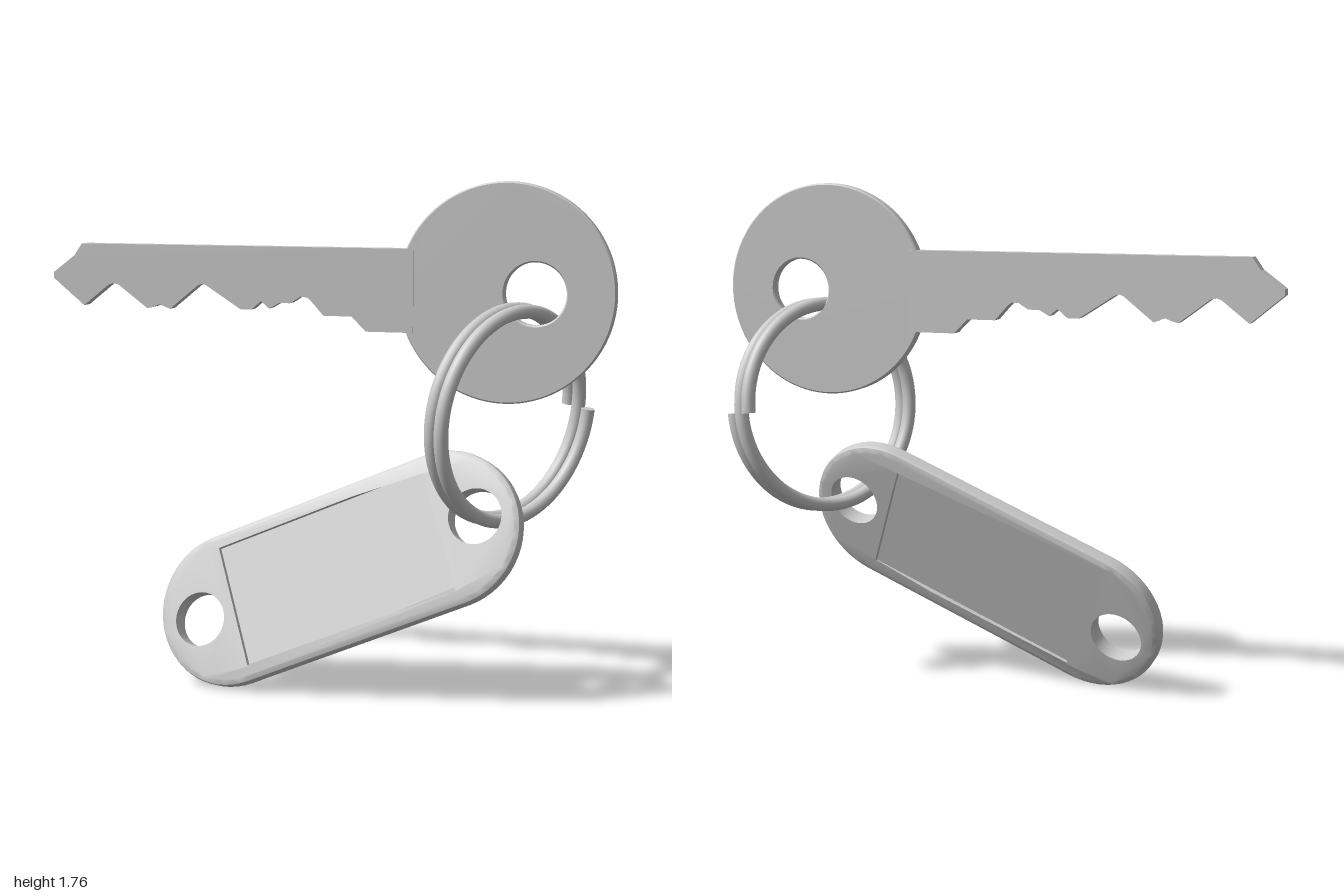
import * as THREE from 'three';
import { toCreasedNormals } from 'three/addons/utils/BufferGeometryUtils.js';

const material = new THREE.MeshStandardMaterial({ color: 0xcccccc });

function addMesh(parent, geometry, name) {
  const mesh = new THREE.Mesh(geometry, material);
  mesh.name = name;
  parent.add(mesh);
  return mesh;
}

// Circle made of two half arcs, used for outlines and holes
function circle(path, x, y, r) {
  path.absarc(x, y, r, 0, Math.PI, false);
  path.absarc(x, y, r, Math.PI, Math.PI * 2, false);
  return path;
}

function createKey() {
  const key = new THREE.Group();
  key.name = 'key';

  // Round head with an off-centre hole and a fine edge bevel
  const head = circle(new THREE.Shape(), 0.63, 1.39, 0.37);
  head.holes.push(circle(new THREE.Path(), 0.73, 1.39, 0.105));
  const b = 0.005;
  const headGeo = new THREE.ExtrudeGeometry(head, {
    depth: 0.04 - 2 * b, curveSegments: 32,
    bevelSize: b, bevelThickness: b, bevelOffset: -b, bevelSegments: 1,
  });
  headGeo.translate(0, 0, -0.02 + b);
  addMesh(key, toCreasedNormals(headGeo, 0.5), 'keyHead');

  // Toothed blade, slightly thicker than the head
  const outline = [
    [-0.89, 1.533], [-0.92, 1.49], [-1, 1.43], [-1, 1.41], [-0.885, 1.315],
    [-0.79, 1.39], [-0.775, 1.395], [-0.755, 1.392], [-0.645, 1.31], [-0.625, 1.315],
    [-0.6, 1.325], [-0.56, 1.31], [-0.455, 1.395], [-0.44, 1.4], [-0.425, 1.395],
    [-0.3, 1.315], [-0.26, 1.315], [-0.225, 1.345], [-0.195, 1.32], [-0.16, 1.34],
    [-0.12, 1.34], [-0.085, 1.362], [-0.06, 1.362], [-0.045, 1.35], [0, 1.3],
    [0.1, 1.3], [0.15, 1.25], [0.315, 1.25], [0.315, 1.533],
  ];
  const blade = new THREE.Shape(outline.map(([x, y]) => new THREE.Vector2(x, y)));
  const bladeGeo = new THREE.ExtrudeGeometry(blade, { depth: 0.05, bevelEnabled: false });
  bladeGeo.translate(0, 0, -0.025);
  addMesh(key, bladeGeo, 'keyBlade');
  return key;
}

function createTag() {
  const tag = new THREE.Group();
  tag.name = 'tag';
  const half = 0.417, r = 0.27, t = 0.065, round = 0.018;

  // Stadium outline with a hole at each end and a label window
  const shape = new THREE.Shape();
  shape.absarc(half, 0, r, -Math.PI / 2, Math.PI / 2, false);
  shape.absarc(-half, 0, r, Math.PI / 2, Math.PI * 1.5, false);
  for (const x of [-0.535, 0.535]) shape.holes.push(circle(new THREE.Path(), x, 0, 0.095));
  const w = 0.4, h = 0.22;
  shape.holes.push(new THREE.Path(
    [[-w, -h], [-w, h], [w, h], [w, -h]].map(([x, y]) => new THREE.Vector2(x, y))));
  const geo = new THREE.ExtrudeGeometry(shape, {
    depth: t, steps: 8, curveSegments: 14, bevelEnabled: false,
  });
  geo.translate(0, 0, -t / 2);

  // Round the outer rim by pulling its vertices in near both faces
  const p = geo.attributes.position;
  for (let i = 0; i < p.count; i++) {
    const x = p.getX(i), y = p.getY(i);
    const cx = THREE.MathUtils.clamp(x, -half, half);
    const d = Math.hypot(x - cx, y);
    if (d < r - 0.005) continue;
    const k = Math.max(0, Math.abs(p.getZ(i)) - (t / 2 - round));
    const s = (r - round + Math.sqrt(Math.max(0, round * round - k * k))) / d;
    p.setXY(i, cx + (x - cx) * s, y * s);
  }
  addMesh(tag, toCreasedNormals(geo, 0.7), 'tagFrame');

  // Label panel, recessed on both faces
  addMesh(tag, new THREE.BoxGeometry(2 * w, 2 * h, t - 0.036), 'labelPanel');

  tag.rotation.set(THREE.MathUtils.degToRad(-22), 0, THREE.MathUtils.degToRad(23.3), 'ZXY');
  tag.position.set(0.067, 0.427, 0.077);
  return tag;
}

// Two-turn helix around the local z axis
class Coil extends THREE.Curve {
  getPoint(t, target = new THREE.Vector3()) {
    const a = t * Math.PI * 4;
    return target.set(0.357 * Math.cos(a), 0.357 * Math.sin(a), (t - 0.5) * 0.088);
  }
}

function createSplitRing() {
  const ring = new THREE.Group();
  ring.name = 'splitRing';
  const coil = new Coil(), wire = 0.024;
  addMesh(ring, new THREE.TubeGeometry(coil, 160, wire, 14, false), 'ringCoil');

  // Flat caps on the two wire ends
  for (const end of [0, 1]) {
    const cap = addMesh(ring, new THREE.CircleGeometry(wire, 14), 'ringEnd');
    const point = coil.getPoint(end);
    cap.position.copy(point);
    cap.lookAt(point.clone().addScaledVector(coil.getTangent(end), end ? 1 : -1));
  }

  // Local x runs to the back right, local y leans slightly sideways
  const across = new THREE.Vector3(0.5, 0, -0.866).normalize();
  const up = new THREE.Vector3(0.866 * 0.11, 1, 0.5 * 0.11).normalize();
  const axis = new THREE.Vector3().crossVectors(across, up);
  ring.quaternion.setFromRotationMatrix(new THREE.Matrix4().makeBasis(across, up, axis));
  ring.position.set(0.647, 0.978, 0);
  return ring;
}

export function createModel() {
  const model = new THREE.Group();
  model.name = 'keyWithTag';
  model.add(createKey(), createTag(), createSplitRing());
  return model;
}
